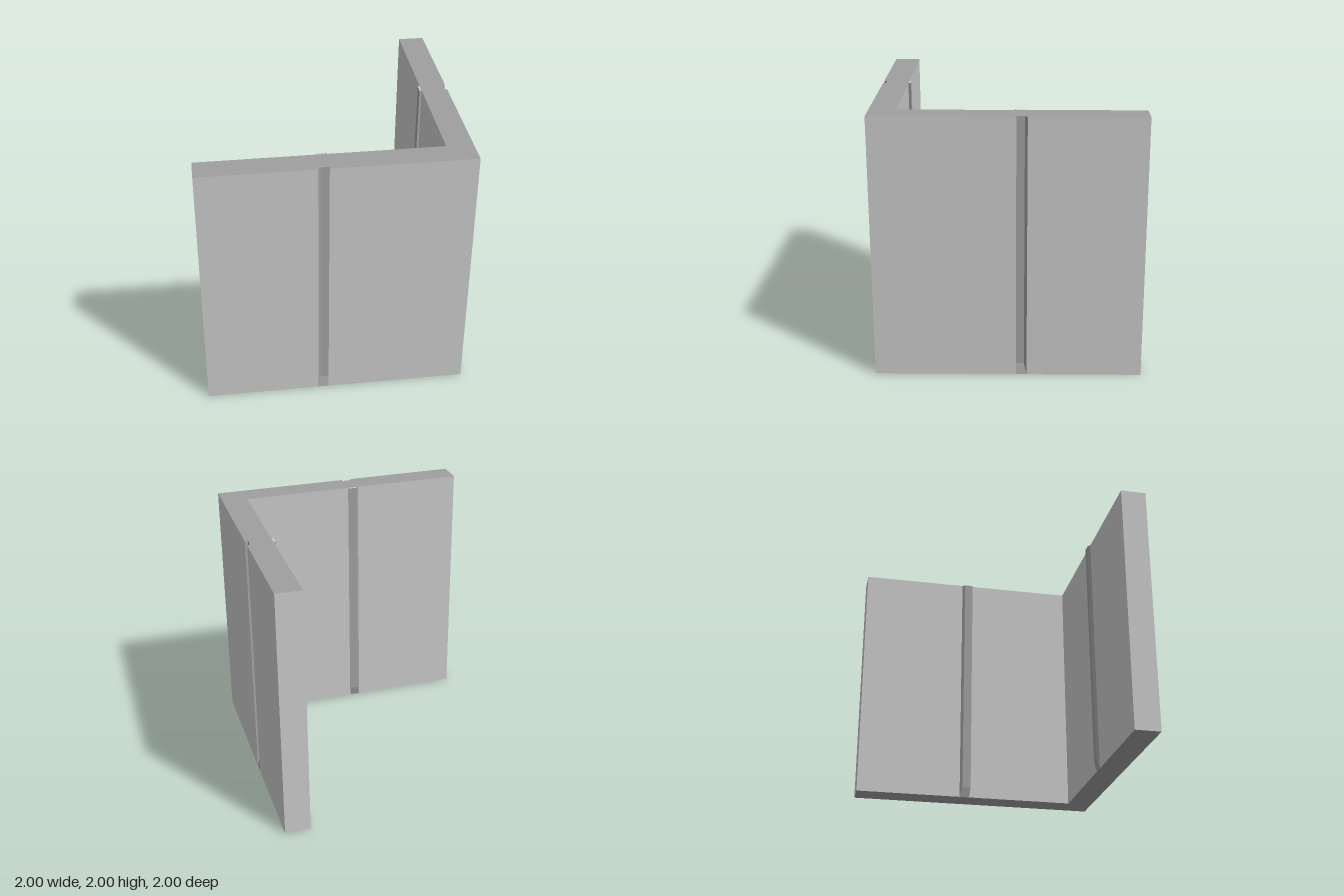
import * as THREE from 'three';

const H = 2; // wall height
const RAMP = 0.08; // height of the sloped foot of groove and tongue

// Mesh from four-cornered faces, each listed counter-clockwise from outside
function quadMesh(name, quads, material) {
  const pos = [];
  for (const [a, b, c, d] of quads) pos.push(...a, ...b, ...c, ...a, ...c, ...d);
  const g = new THREE.BufferGeometry();
  g.setAttribute('position', new THREE.Float32BufferAttribute(pos, 3));
  g.computeVertexNormals();
  const m = new THREE.Mesh(g, material);
  m.name = name;
  return m;
}

// Upright faces along a plan line of [x, z] points
function uprights(plan) {
  return plan.slice(1).map(([bx, bz], i) => {
    const [ax, az] = plan[i];
    return [[ax, 0, az], [ax, H, az], [bx, H, bz], [bx, 0, bz]];
  });
}

// Swap x and z to get the other wing, reversing the corner order
const swapQuads = (quads) => quads.map((q) => q.map(([x, y, z]) => [z, y, x]).reverse());

export function createModel() {
  const panel = new THREE.MeshStandardMaterial({ color: 0xc8c8c8, side: THREE.DoubleSide });
  panel.name = 'panelGrey';
  const trim = new THREE.MeshStandardMaterial({ color: 0x9f9f9f, side: THREE.DoubleSide });
  trim.name = 'trimGrey';

  const root = new THREE.Group();
  root.name = 'cornerWall';

  // Plan lines of the front wing
  const groove = [[-0.06, 1], [-0.05, 0.975], [-0.12, 0.975], [-0.14, 1]];
  const frontRight = [[1, 1], groove[0]];
  const frontLeft = [groove[3], [-1, 1], [-1, 0.8], [0.8, 0.8]];

  const panelQuads = [...uprights(frontRight), ...uprights(frontLeft)];
  const grooveQuads = [
    ...uprights(groove),
    [[-0.14, 0, 1], [-0.06, 0, 1], [-0.05, RAMP, 0.975], [-0.12, RAMP, 0.975]], // sloped foot
  ];

  // Raised tongue on the inner face, tapering into the wall at its foot
  const zi = 0.8, zo = 0.782;
  const tongueQuads = [
    [[-0.05, RAMP, zo], [-0.12, RAMP, zo], [-0.12, H, zo], [-0.05, H, zo]],
    [[-0.06, 0, zi], [-0.14, 0, zi], [-0.12, RAMP, zo], [-0.05, RAMP, zo]],
    [[-0.12, RAMP, zo], [-0.14, 0, zi], [-0.14, H, zi], [-0.12, H, zo]],
    [[-0.06, 0, zi], [-0.05, RAMP, zo], [-0.05, H, zo], [-0.06, H, zi]],
  ];
  const tongueTop = [[[-0.14, H, zi], [-0.06, H, zi], [-0.05, H, zo], [-0.12, H, zo]]];

  // Two matching wings
  for (const side of ['front', 'side']) {
    const place = side === 'front' ? (q) => q : swapQuads;
    const wing = new THREE.Group();
    wing.name = side + 'Wing';
    wing.add(
      quadMesh(side + 'Panel', place(panelQuads), panel),
      quadMesh(side + 'Groove', place(grooveQuads), trim),
      quadMesh(side + 'Tongue', place(tongueQuads), trim),
      quadMesh(side + 'TongueTop', place(tongueTop), panel),
    );
    root.add(wing);
  }

  // Top face follows the grooves
  const half = [[1, 1], ...groove, [-1, 1], [-1, 0.8], [0.8, 0.8]];
  const otherHalf = half.slice(1, -1).reverse().map(([x, z]) => [z, x]);
  const outline = [...half, ...otherHalf];
  const topShape = new THREE.Shape(outline.map(([x, z]) => new THREE.Vector2(x, -z)));
  const top = new THREE.Mesh(new THREE.ShapeGeometry(topShape).rotateX(-Math.PI / 2), trim);
  top.name = 'topFace';
  top.position.y = H;

  // Bottom face is a plain L
  const ell = [[1, 1], [-1, 1], [-1, 0.8], [0.8, 0.8], [0.8, -1], [1, -1]];
  const bottomShape = new THREE.Shape(ell.map(([x, z]) => new THREE.Vector2(x, z)));
  const bottom = new THREE.Mesh(new THREE.ShapeGeometry(bottomShape).rotateX(Math.PI / 2), trim);
  bottom.name = 'bottomFace';

  root.add(top, bottom);
  return root;
}
